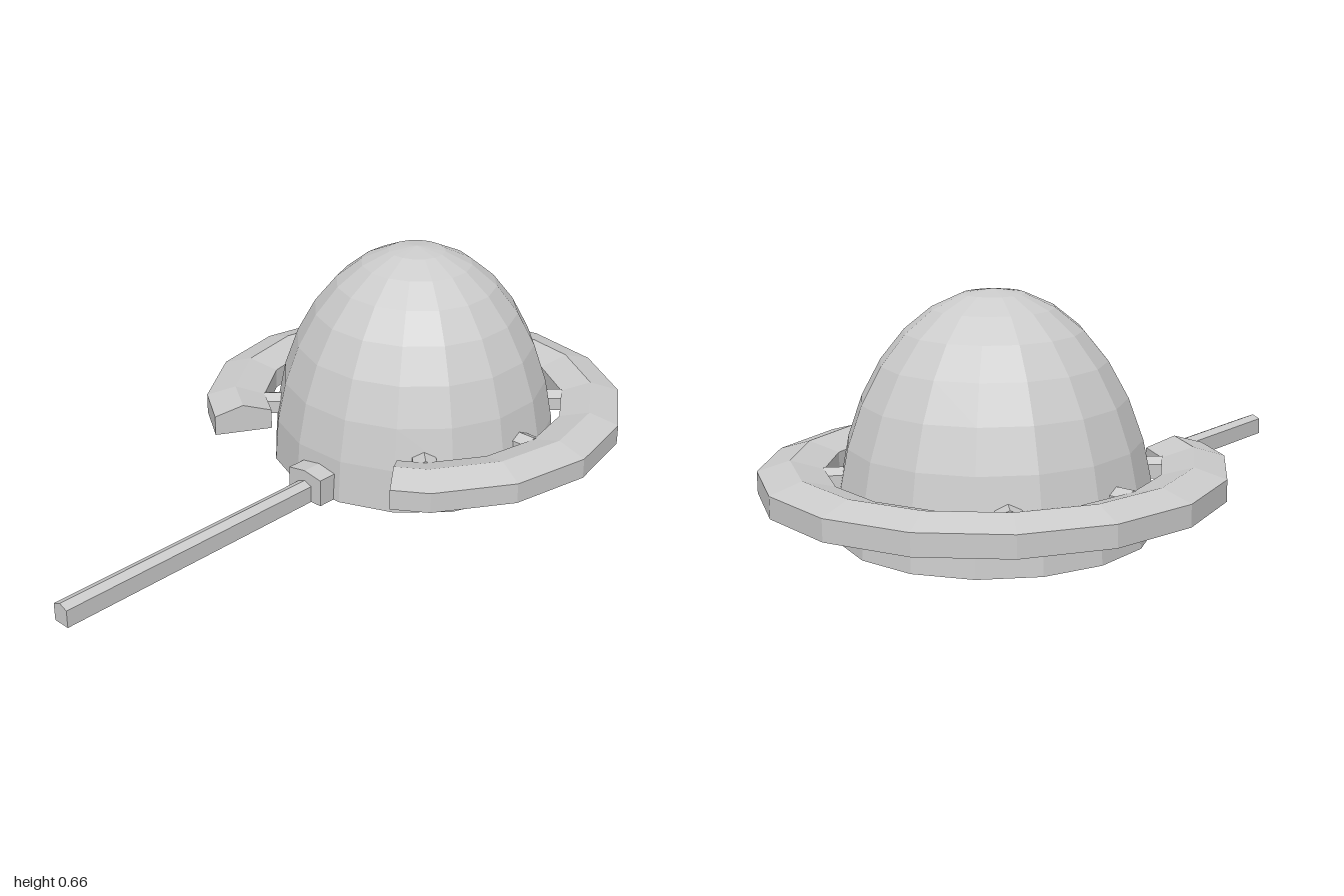
import * as THREE from 'three';

const CENTER_Z = -0.364;
const rad = THREE.MathUtils.degToRad;

function makeMesh(name, geometry) {
  const material = new THREE.MeshStandardMaterial({ color: 0xcccccc, flatShading: true });
  const mesh = new THREE.Mesh(geometry, material);
  mesh.name = name;
  return mesh;
}

// Bar with a shallow pitched top, running from z0 to z1
function gabledBar(halfWidth, bottom, eaves, peak, z0, z1) {
  const shape = new THREE.Shape([
    new THREE.Vector2(-halfWidth, bottom), new THREE.Vector2(halfWidth, bottom),
    new THREE.Vector2(halfWidth, eaves), new THREE.Vector2(0, peak),
    new THREE.Vector2(-halfWidth, eaves),
  ]);
  return new THREE.ExtrudeGeometry(shape, { depth: z1 - z0, bevelEnabled: false }).translate(0, 0, z0);
}

// Half ellipsoid with 16 sides and 8 rings, closed below
function domeGeometry(radius, height) {
  const profile = [new THREE.Vector2(0, 0)];
  for (let i = 0; i <= 8; i++) {
    const a = (i / 8) * Math.PI / 2;
    profile.push(new THREE.Vector2(i === 8 ? 0 : radius * Math.cos(a), height * Math.sin(a)));
  }
  return new THREE.LatheGeometry(profile, 16, rad(11.25));
}

// Open 16-sided ring with a gabled section; both ends are cut part way along a side
function openRingGeometry() {
  const section = [[0.46, 0.12], [0.637, 0.12], [0.637, 0.18], [0.549, 0.207], [0.46, 0.18]];
  const stations = [{ angle: 34.8, scale: 0.981 }];
  for (let a = 45; a <= 315; a += 22.5) stations.push({ angle: a, scale: 1 });
  stations.push({ angle: 329.5, scale: 0.982 });

  const loops = stations.map(({ angle, scale }) => section.map(([r, y]) => [
    r * scale * Math.sin(rad(angle)), y, r * scale * Math.cos(rad(angle)),
  ]));
  const positions = [];
  const tri = (a, b, c) => positions.push(...a, ...b, ...c);
  for (let i = 0; i < loops.length - 1; i++) {
    for (let j = 0; j < 5; j++) {
      const k = (j + 1) % 5;
      tri(loops[i][j], loops[i + 1][j], loops[i + 1][k]);
      tri(loops[i][j], loops[i + 1][k], loops[i][k]);
    }
  }
  // End caps
  const first = loops[0], last = loops[loops.length - 1];
  for (let j = 1; j < 4; j++) {
    tri(first[0], first[j], first[j + 1]);
    tri(last[0], last[j + 1], last[j]);
  }
  const geometry = new THREE.BufferGeometry();
  geometry.setAttribute('position', new THREE.Float32BufferAttribute(positions, 3));
  geometry.computeVertexNormals();
  return geometry;
}

export function createModel() {
  const model = new THREE.Group();
  model.name = 'domeWithRing';

  // Dome and the ring around it
  const body = new THREE.Group();
  body.name = 'domeAssembly';
  body.position.z = CENTER_Z;
  body.add(makeMesh('dome', domeGeometry(0.435, 0.661)));
  body.add(makeMesh('openRing', openRingGeometry()));

  // Short struts joining the ring to the dome
  const strutGeometry = gabledBar(0.034, 0.13, 0.17, 0.185, 0.38, 0.462);
  for (const angle of [45, 90, 135, 225, 270, 315]) {
    const strut = makeMesh('strut', strutGeometry);
    strut.rotation.y = rad(angle);
    body.add(strut);
  }
  model.add(body);

  // Entrance block and the long walkway in front
  model.add(makeMesh('entrance', gabledBar(0.063, 0, 0.083, 0.094, 0, 0.117)));
  model.add(makeMesh('walkway', gabledBar(0.026, 0, 0.051, 0.062, 0.1, 1)));

  return model;
}
